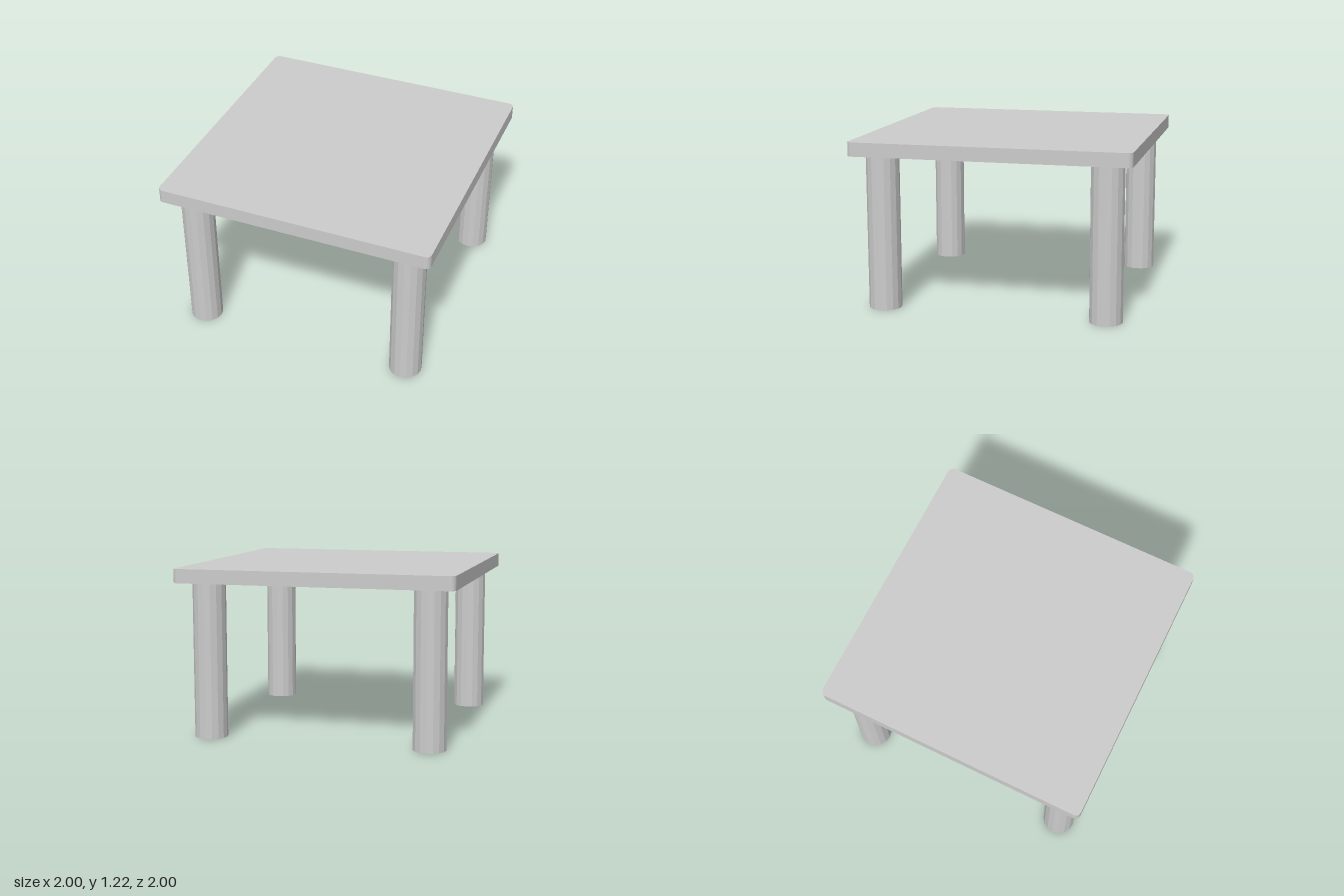
import * as THREE from 'three';

export function createModel() {
  const group = new THREE.Group();
  const material = new THREE.MeshStandardMaterial({ color: 0xcccccc, flatShading: true });
  const legHeight = 1.12, thickness = 0.1, legRadius = 0.118;

  // Square top with small rounded corners
  const half = 1, r = 0.04, c = half - r;
  const outline = new THREE.Shape();
  outline.absarc(c, c, r, 0, Math.PI / 2);
  outline.absarc(-c, c, r, Math.PI / 2, Math.PI);
  outline.absarc(-c, -c, r, Math.PI, Math.PI * 1.5);
  outline.absarc(c, -c, r, Math.PI * 1.5, Math.PI * 2);
  const topGeometry = new THREE.ExtrudeGeometry(outline, {
    depth: thickness, bevelEnabled: false, curveSegments: 4,
  });
  topGeometry.rotateX(-Math.PI / 2);
  const top = new THREE.Mesh(topGeometry, material);
  top.name = 'tableTop';
  top.position.y = legHeight;
  group.add(top);

  // Four round legs set in from the corners
  const legGeometry = new THREE.CylinderGeometry(legRadius, legRadius, legHeight, 16);
  for (const [side, x] of [['Left', 0.8], ['Right', -0.8]]) {
    for (const [end, z] of [['front', 0.805], ['back', -0.805]]) {
      const leg = new THREE.Mesh(legGeometry, material);
      leg.name = `${end}${side}Leg`;
      leg.position.set(x, legHeight / 2, z);
      group.add(leg);
    }
  }
  return group;
}
